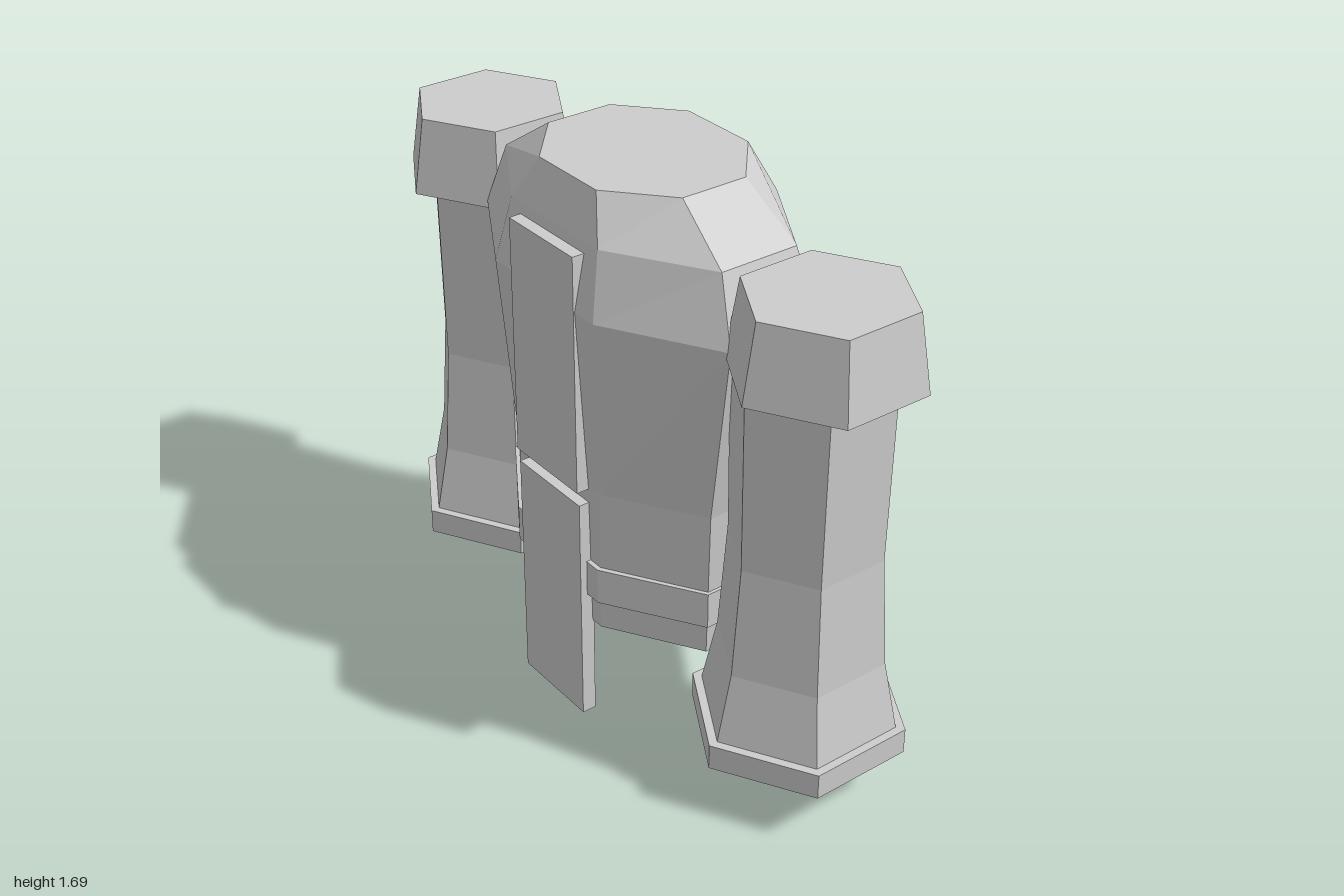
import * as THREE from 'three';

// Double-sided because the main shell is open underneath
const grey = new THREE.MeshStandardMaterial({ color: 0xcccccc, flatShading: true, side: THREE.DoubleSide });
grey.name = 'light grey';

// Octagon ring: half width w with side corners at z = b, half depth d with front corners at x = a
const octagon = (y, w, b, a, d) =>
  [[w, b], [a, d], [-a, d], [-w, b], [-w, -b], [-a, -d], [a, -d], [w, -b]].map(([x, z]) => [x, y, z]);

// Hexagon ring of radius r with a flat side facing +x and -x
const hexagon = (y, r) => Array.from({ length: 6 }, (_, i) => {
  const t = Math.PI / 6 + (i * Math.PI) / 3;
  return [r * Math.cos(t), y, r * Math.sin(t)];
});

// Joins rings listed from bottom to top and optionally closes the ends
function loft(name, rings, closeBottom, closeTop) {
  const n = rings[0].length, pos = [];
  const tri = (a, b, c) => pos.push(...a, ...b, ...c);
  for (let k = 0; k < rings.length - 1; k++) {
    for (let i = 0; i < n; i++) {
      const j = (i + 1) % n, lo = rings[k], hi = rings[k + 1];
      tri(lo[i], hi[i], lo[j]);
      tri(lo[j], hi[i], hi[j]);
    }
  }
  const bottom = rings[0], top = rings[rings.length - 1];
  for (let i = 1; i < n - 1; i++) {
    if (closeBottom) tri(bottom[0], bottom[i], bottom[i + 1]);
    if (closeTop) tri(top[0], top[i + 1], top[i]);
  }
  const geo = new THREE.BufferGeometry();
  geo.setAttribute('position', new THREE.Float32BufferAttribute(pos, 3));
  geo.computeVertexNormals();
  const mesh = new THREE.Mesh(geo, grey);
  mesh.name = name;
  return mesh;
}

function plate(name, y0, y1, z0, z1) {
  const mesh = new THREE.Mesh(new THREE.BoxGeometry(0.295, y1 - y0, z1 - z0), grey);
  mesh.position.set(0, (y0 + y1) / 2, (z0 + z1) / 2);
  mesh.name = name;
  return mesh;
}

// Flared hexagonal side tank with a foot and a tapered cap
function sideTank(side, name) {
  const tank = new THREE.Group();
  tank.name = name;
  const shaft = loft('tankShaft', [
    hexagon(0.25, 0.29), hexagon(0.46, 0.246), hexagon(0.8, 0.222), hexagon(1.36, 0.229),
  ], false, false);
  const foot = loft('tankFoot', [hexagon(0.17, 0.318), hexagon(0.25, 0.318)], true, true);
  const cap = loft('tankCap', [hexagon(1.345, 0.275), hexagon(1.575, 0.238)], true, true);
  cap.position.x = side * 0.045;
  tank.add(shaft, foot, cap);
  tank.position.x = side * 0.717;
  return tank;
}

export function createModel() {
  const model = new THREE.Group();
  model.name = 'backpack';

  // Main shell, open at the bottom
  const shell = loft('mainShell', [
    octagon(0.33, 0.465, 0.13, 0.19, 0.3),
    octagon(0.8, 0.48, 0.135, 0.2, 0.308),
    octagon(1.365, 0.565, 0.15, 0.23, 0.343),
    octagon(1.56, 0.492, 0.125, 0.2, 0.303),
    octagon(1.69, 0.302, 0.105, 0.13, 0.255),
  ], false, true);

  // Raised band around the lower shell
  const belt = loft('belt', [
    octagon(0.43, 0.46, 0.13, 0.19, 0.298),
    octagon(0.43, 0.482, 0.14, 0.2, 0.318),
    octagon(0.545, 0.482, 0.14, 0.2, 0.318),
    octagon(0.545, 0.46, 0.13, 0.19, 0.298),
  ], false, false);

  model.add(
    shell, belt,
    plate('upperFrontPlate', 0.79, 1.53, 0.3, 0.347),
    plate('lowerFrontPlate', 0, 0.745, 0.295, 0.34),
    sideTank(1, 'leftTank'),
    sideTank(-1, 'rightTank'),
  );
  return model;
}
